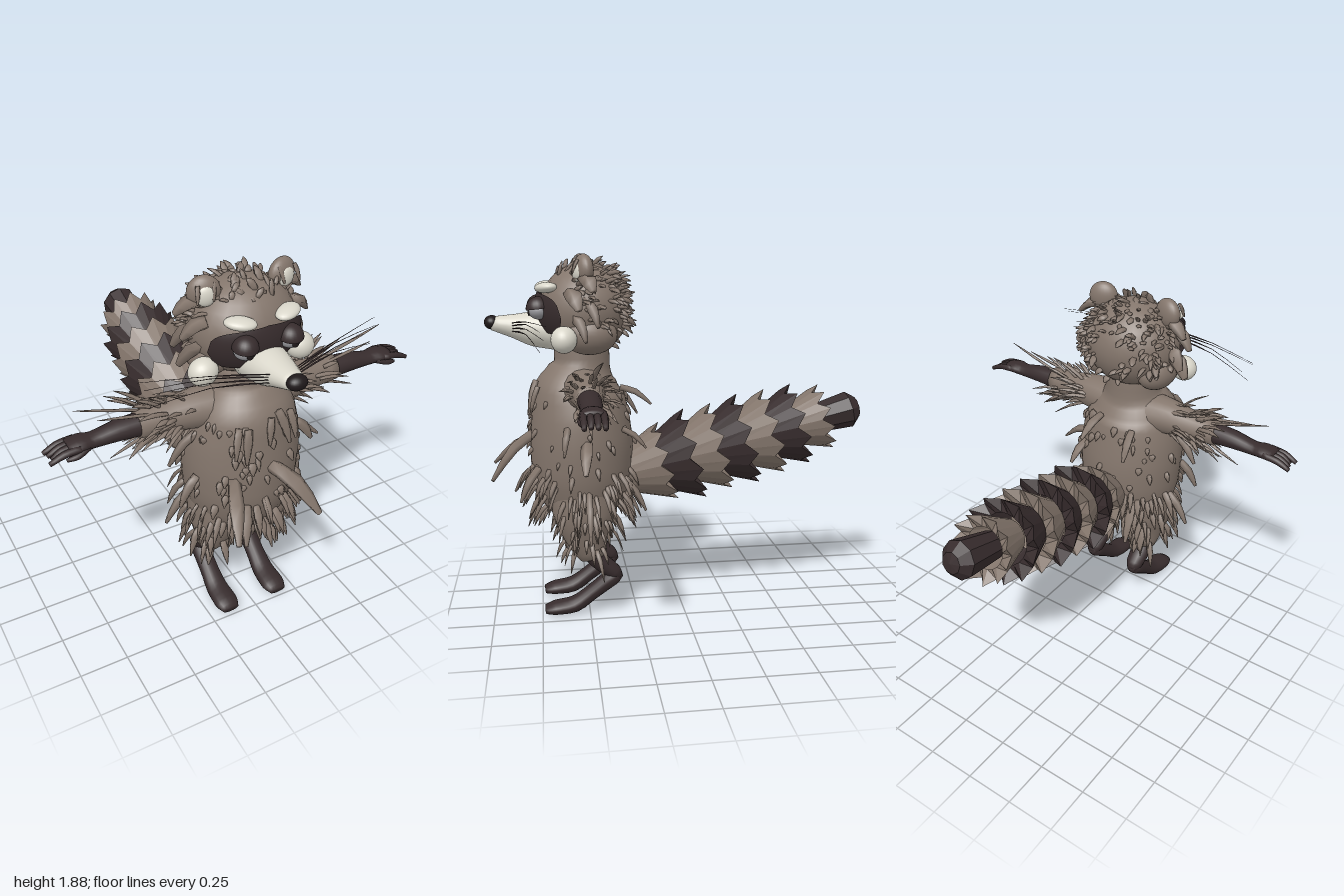
import * as THREE from 'three';
import { mergeGeometries } from 'three/addons/utils/BufferGeometryUtils.js';
import { ParametricGeometry } from 'three/addons/geometries/ParametricGeometry.js';

const V = (x, y, z) => new THREE.Vector3(x, y, z);
const mat = (name, color) => {
  const m = new THREE.MeshStandardMaterial({ color, side: THREE.DoubleSide });
  m.name = name;
  return m;
};

// Seeded random numbers
let seed = 7;
const rnd = (a = 0, b = 1) => {
  seed = (seed * 16807) % 2147483647;
  return a + (b - a) * (seed / 2147483647);
};

// Smooth elliptical loft through rows of [x, y, z, width radius, other radius]
function loft(rows, seg = 16, steps = (rows.length - 1) * 3) {
  const path = new THREE.CatmullRomCurve3(rows.map(r => V(r[0], r[1], r[2])));
  const radii = new THREE.CatmullRomCurve3(rows.map(r => V(r[3], r[4], 0)));
  const span = path.getPoint(1).sub(path.getPoint(0)).normalize();
  const ref = Math.abs(span.x) > 0.75 ? V(0, 0, 1) : V(1, 0, 0);
  const pos = [], idx = [];
  for (let i = 0; i <= steps; i++) {
    const u = i / steps, c = path.getPoint(u), r = radii.getPoint(u), t = path.getTangent(u);
    const a = ref.clone().addScaledVector(t, -ref.dot(t)).normalize();
    const b = t.clone().cross(a);
    for (let j = 0; j < seg; j++) {
      const q = (j / seg) * Math.PI * 2;
      const p = c.clone().addScaledVector(a, Math.cos(q) * r.x).addScaledVector(b, Math.sin(q) * r.y);
      pos.push(p.x, p.y, p.z);
      const k = (j + 1) % seg, m = i * seg;
      if (i < steps) idx.push(m + j, m + k, m + seg + k, m + j, m + seg + k, m + seg + j);
    }
  }
  // End caps
  const n = pos.length / 3, last = steps * seg;
  pos.push(...path.getPoint(0).toArray(), ...path.getPoint(1).toArray());
  for (let j = 0; j < seg; j++) {
    const k = (j + 1) % seg;
    idx.push(n, k, j, n + 1, last + j, last + k);
  }
  const g = new THREE.BufferGeometry();
  g.setAttribute('position', new THREE.Float32BufferAttribute(pos, 3));
  g.setIndex(idx);
  g.computeVertexNormals();
  return g;
}

// Curved lock of fur from base to tip; blunt is the share of the width left at the tip
function tuft(base, tip, w, lift = 0.15, blunt = 0.15) {
  const len = base.distanceTo(tip), m = base.clone().lerp(tip, 0.5);
  return loft([[...base.toArray(), w * 0.8, w * 0.6], [m.x, m.y + len * lift, m.z, w, w * 0.6],
    [...tip.toArray(), w * blunt, w * blunt * 0.6]], 5, 4);
}

// Faceted turned shape; vary may move each vertex (ring, step, x, y, z) before shading
function turned(points, seg, vary) {
  const g = new THREE.LatheGeometry(points.map(([a, b]) => new THREE.Vector2(a, b)), seg);
  const p = g.attributes.position;
  for (let i = 0; vary && i < p.count; i++) {
    p.setXYZ(i, ...vary(i % points.length, Math.floor(i / points.length), p.getX(i), p.getY(i), p.getZ(i)));
  }
  const flat = g.toNonIndexed();
  flat.computeVertexNormals();
  return flat;
}

export function createModel() {
  const group = new THREE.Group();
  const fur = mat('brown fur', 0x84766c), dark = mat('dark fur', 0x372c2d);
  const white = mat('cream fur', 0xd9d6ca), black = mat('black', 0x1f191a), iris = mat('grey eye', 0x96969a);
  const add = (name, geo, m) => {
    const mesh = new THREE.Mesh(geo, m);
    mesh.name = name;
    group.add(mesh);
    return mesh;
  };
  const ball = (name, m, [x, y, z], [a, b, c], rz = 0, ry = 0) => {
    const mesh = add(name, new THREE.SphereGeometry(1, 24, 16), m);
    mesh.position.set(x, y, z);
    mesh.scale.set(a, b, c);
    mesh.rotation.set(0, ry, rz);
  };

  // Torso and neck
  const torso = [[0.48, 0.17, 0.13, 0.52], [0.6, 0.25, 0.22, 0.52], [0.75, 0.29, 0.265, 0.52], [0.9, 0.3, 0.27, 0.52],
    [1.05, 0.29, 0.255, 0.525], [1.18, 0.255, 0.235, 0.53], [1.26, 0.205, 0.185, 0.52], [1.32, 0.155, 0.145, 0.51], [1.43, 0.15, 0.14, 0.51]];
  add('torso', loft(torso.map(([y, a, b, z]) => [0, y, z, a, b]), 32), fur);

  // Head and mask
  const HC = V(0, 1.6, 0.488), HR = V(0.265, 0.232, 0.232);
  ball('head', fur, HC.toArray(), HR.toArray());
  add('eyeMask', new ParametricGeometry((u, v, p) => {
    const f = (u * 2 - 1) * 1.06, k = Math.sqrt(Math.max(0, 1 - (u * 2 - 1) ** 6));
    const e = -0.06 - 0.12 * Math.abs(f) + (v - 0.5) * 0.84 * k;
    p.set(Math.sin(f) * Math.cos(e) * 0.282, 1.61 + Math.sin(e) * 0.24, 0.495 + Math.cos(f) * Math.cos(e) * 0.25);
  }, 28, 10), dark);

  // Muzzle and nose
  add('muzzle', loft([[0, 1.485, 0.64, 0.12, 0.095], [0, 1.5, 0.75, 0.105, 0.09], [0, 1.515, 0.85, 0.078, 0.062],
    [0, 1.53, 0.96, 0.045, 0.035]], 24), white);
  ball('nose', black, [0, 1.535, 0.96], [0.05, 0.036, 0.04]);

  for (const s of [-1, 1]) {
    // Face
    ball('jowl', fur, [s * 0.17, 1.48, 0.475], [0.1, 0.1, 0.14]);
    ball('cheek', white, [s * 0.255, 1.465, 0.605], [0.072, 0.066, 0.065], s * -0.3);
    ball('brow', white, [s * 0.12, 1.712, 0.685], [0.074, 0.027, 0.05], s * 0.08, s * 0.5);
    ball('eyeball', iris, [s * 0.115, 1.597, 0.722], [0.052, 0.042, 0.052]);
    ball('pupil', black, [s * 0.115, 1.593, 0.77], [0.018, 0.02, 0.008]);
    // Heavy upper lid
    const lid = add('upperLid', new THREE.SphereGeometry(0.061, 20, 10, 0, Math.PI * 2, 0, 1.55), dark);
    lid.position.set(s * 0.115, 1.608, 0.725);
    lid.rotation.x = 0.12;
    // Ears
    ball('ear', fur, [s * 0.2, 1.8, 0.5], [0.078, 0.078, 0.045], 0, s * 0.3);
    ball('innerEar', white, [s * 0.206, 1.792, 0.53], [0.046, 0.05, 0.024], 0, s * 0.3);
    add('earTuft', mergeGeometries([-0.05, 0.03].map(d => tuft(V(s * (0.215 + d), 1.85, 0.53),
      V(s * (0.23 + d), 1.775, 0.56), 0.013, 0.1, 0.4))), fur);
    // Whiskers
    const tips = [[0.61, 1.56, 0.69], [0.6, 1.535, 0.72], [0.55, 1.49, 0.7], [0.58, 1.44, 0.72]];
    add('whiskers', mergeGeometries(tips.map(([x, y, z], i) => loft([[s * 0.06, 1.535 - i * 0.014, 0.86, 0.002, 0.002],
      [s * 0.32, (y + 1.54) / 2 + 0.01, 0.785, 0.002, 0.002], [s * x, y, z, 0.001, 0.001]], 3, 4))), dark);

    // Arm, forearm and hand
    add('upperArm', loft([[s * 0.08, 1.2, 0.51, 0.13, 0.11], [s * 0.25, 1.208, 0.505, 0.1, 0.097],
      [s * 0.4, 1.205, 0.5, 0.077, 0.077], [s * 0.54, 1.205, 0.5, 0.065, 0.067]]), fur);
    add('forearm', loft([[s * 0.5, 1.205, 0.5, 0.06, 0.058], [s * 0.64, 1.205, 0.5, 0.054, 0.048],
      [s * 0.76, 1.195, 0.5, 0.047, 0.034], [s * 0.82, 1.2, 0.5, 0.06, 0.032], [s * 0.88, 1.195, 0.5, 0.057, 0.024]]), dark);
    add('fingers', mergeGeometries([-0.045, -0.015, 0.015, 0.045].map((d, i) => loft([[s * 0.83, 1.2, 0.5 + d, 0.018, 0.018],
      [s * 0.91, 1.192, 0.5 + d, 0.017, 0.017], [s * (0.978 - 0.01 * (i % 3)), 1.163, 0.5 + d, 0.011, 0.011]], 8))), dark);
    add('thumb', loft([[s * 0.79, 1.19, 0.535, 0.018, 0.018], [s * 0.85, 1.172, 0.555, 0.016, 0.016],
      [s * 0.9, 1.16, 0.548, 0.008, 0.008]], 8), dark);

    // Leg and foot
    const x = s * 0.145;
    add('thigh', loft([[x, 0.74, 0.51, 0.12, 0.17], [x, 0.56, 0.52, 0.125, 0.165], [x, 0.42, 0.51, 0.093, 0.115],
      [x, 0.31, 0.48, 0.06, 0.068]], 20), fur);
    add('shin', loft([[x, 0.4, 0.52, 0.055, 0.06], [x, 0.3, 0.46, 0.06, 0.05], [x, 0.22, 0.37, 0.05, 0.04],
      [x, 0.19, 0.345, 0.03, 0.025]]), dark);
    add('foot', loft([[x, 0.215, 0.335, 0.025, 0.025], [x, 0.19, 0.38, 0.05, 0.045], [x, 0.11, 0.49, 0.05, 0.04],
      [x, 0.05, 0.58, 0.058, 0.042], [x, 0.036, 0.68, 0.064, 0.035], [x, 0.028, 0.735, 0.045, 0.02]]), dark);

    // Shaggy sleeve
    const sleeve = [];
    for (let i = 0; i < 52; i++) {
      const q = rnd(0, Math.PI * 2), bx = rnd(0.24, 0.49), len = rnd(0.06, 0.16), out = rnd(0.15, 0.75);
      const c = Math.cos(q), d = Math.sin(q), r = 0.075;
      sleeve.push(tuft(V(s * bx, 1.205 + c * r, 0.5 + d * r),
        V(s * (bx + len), 1.205 + c * (r + len * out), 0.5 + d * (r + len * out)), rnd(0.009, 0.017), 0.06));
    }
    for (const [a, b, c, d, z] of [[0.5, 1.26, 0.83, 1.36, 0.48], [0.48, 1.26, 0.74, 1.31, 0.53], [0.48, 1.14, 0.68, 1.06, 0.5],
      [0.42, 1.14, 0.6, 1.1, 0.46]]) sleeve.push(tuft(V(s * a, b, z), V(s * c, d, z), 0.011, 0));
    add('sleeveFur', mergeGeometries(sleeve), fur);

    // Shaggy breeches
    const breeches = [];
    for (let i = 0; i < 54; i++) {
      const q = rnd(0, Math.PI * 2), y = rnd(0.36, 0.66), r = 0.08 + (y - 0.36) * 0.15, len = rnd(0.07, 0.18);
      const nx = Math.cos(q), nz = Math.sin(q), out = nx * s < -0.2 ? 0.05 : 0.43;
      breeches.push(tuft(V(x + nx * r, y, 0.51 + nz * r * 1.3),
        V(x + nx * (r + len * out), y - len * 0.85, 0.51 + nz * (r * 1.3 + len * out)), rnd(0.013, 0.026)));
    }
    add('breechesFur', mergeGeometries(breeches), fur);
  }

  // Coat: short flecks above, long locks around the hips
  const coat = [];
  for (let i = 0; i < 180; i++) {
    const y = i % 2 ? rnd(0.55, 0.78) : rnd(0.7, 1.2), q = rnd(0, Math.PI * 2);
    const k = torso.findIndex(r => r[0] > y), A = torso[k - 1], B = torso[k], f = (y - A[0]) / (B[0] - A[0]);
    const [, rx, rz, cz] = A.map((a, j) => a + (B[j] - a) * f);
    const n = V(Math.cos(q), 0, Math.sin(q)), len = y < 0.78 ? rnd(0.07, 0.18) : rnd(0.03, 0.07);
    const base = V(n.x * rx * 0.98, y, cz + n.z * rz * 0.98);
    coat.push(tuft(base, base.clone().addScaledVector(n, len * 0.5).add(V(0, -len * 0.8, 0)), rnd(0.013, 0.024)));
  }
  // Large single locks: base, tip, width
  const locks = [[0.02, 0.96, 0.77, 0.18, 0.75, 0.98, 0.045], [-0.16, 0.9, 0.74, -0.27, 0.74, 0.99, 0.04],
    [-0.1, 0.75, 0.77, -0.16, 0.6, 0.88, 0.03], [0.16, 0.8, 0.75, 0.25, 0.65, 0.84, 0.035],
    [-0.14, 1.2, 0.74, -0.18, 1.06, 0.79, 0.022], [-0.1, 1.19, 0.76, -0.12, 1.02, 0.79, 0.026],
    [0.02, 1.22, 0.76, 0, 1.09, 0.79, 0.022], [0.06, 1.24, 0.75, 0.11, 1.07, 0.79, 0.026], [0.13, 1.22, 0.74, 0.15, 1.08, 0.78, 0.022],
    [-0.25, 1.1, 0.55, -0.4, 0.94, 0.54, 0.03], [0.27, 0.95, 0.5, 0.47, 0.83, 0.52, 0.034], [0.27, 1.02, 0.6, 0.36, 0.9, 0.62, 0.03],
    [-0.28, 0.88, 0.6, -0.38, 0.74, 0.62, 0.03], [-0.26, 0.72, 0.5, -0.4, 0.55, 0.5, 0.03], [0.26, 0.68, 0.5, 0.42, 0.46, 0.5, 0.03],
    [0.08, 1.2, 0.32, 0.1, 1.11, 0.16, 0.028], [-0.12, 1.16, 0.32, -0.14, 1.02, 0.21, 0.026], [0.15, 0.72, 0.3, 0.18, 0.56, 0.2, 0.03],
    [-0.15, 0.7, 0.32, -0.18, 0.5, 0.2, 0.03], [0.18, 1.0, 0.32, 0.2, 0.9, 0.2, 0.026]];
  for (const [a, b, c, d, e, f, w] of locks) coat.push(tuft(V(a, b, c), V(d, e, f), w, 0.12, 0.35));
  add('bodyFur', mergeGeometries(coat), fur);

  // Scruffy hair on crown, sides and back of the head
  const hair = [];
  for (let i = 0; i < 250; i++) {
    const n = V(rnd(-1, 1), rnd(-0.4, 1), rnd(-1, 0.55)).normalize();
    if (n.z > 0.3 && n.y < 0.75) continue;
    const base = HC.clone().add(n.clone().multiply(HR).multiplyScalar(0.97)), len = rnd(0.035, 0.075);
    const dir = n.clone().multiplyScalar(0.5).add(V(rnd(-0.6, 0.6), rnd(-0.6, 0.2), -0.4)).normalize();
    hair.push(tuft(base, base.clone().addScaledVector(dir, len), rnd(0.012, 0.022), 0.1, 0.25));
  }
  for (const s of [-1, 1]) for (const [y, z, dy] of [[1.76, 0.5, -0.06], [1.69, 0.57, -0.08], [1.63, 0.48, -0.1], [1.56, 0.54, -0.1]])
    hair.push(tuft(V(s * 0.22, y, z), V(s * 0.325, y + dy, z - 0.04), 0.046, 0.15, 0.4));
  add('headFur', mergeGeometries(hair), fur);

  // Tail: nested flared cups with jagged rims, closed behind the rim
  const axis = V(0, 0.25, -1).normalize(), turn = new THREE.Quaternion().setFromUnitVectors(V(0, 1, 0), axis);
  const tailY = z => 0.8 - 0.25 * z;
  add('tailRoot', loft([[0, 0.74, 0.34, 0.1, 0.1], [0, tailY(0.15), 0.15, 0.13, 0.13], [0, tailY(0), 0, 0.1, 0.1]]), fur);
  [0.215, 0.25, 0.24, 0.25, 0.235, 0.225, 0.18].forEach((r, i) => {
    const len = 0.24, z = 0.06 - i * 0.145;
    const cup = add('tailRing', turned([[r * 0.52, 0], [r, len], [r * 0.6, len - 0.05]], 22, (ring, step, x, y, w) =>
      ring === 1 && step % 2 ? [x * 0.9, y - 0.055, w * 0.9] : [x, y, w]), i % 2 ? dark : fur);
    cup.quaternion.copy(turn);
    cup.position.set(0, tailY(z), z).addScaledVector(axis, -len);
  });
  const tip = add('tailTip', turned([[0, 0], [0.075, 0], [0.1, 0.24], [0.055, 0.29], [0, 0.3]], 9), dark);
  tip.quaternion.copy(turn);
  tip.position.set(0, tailY(-0.71), -0.71);
  return group;
}
